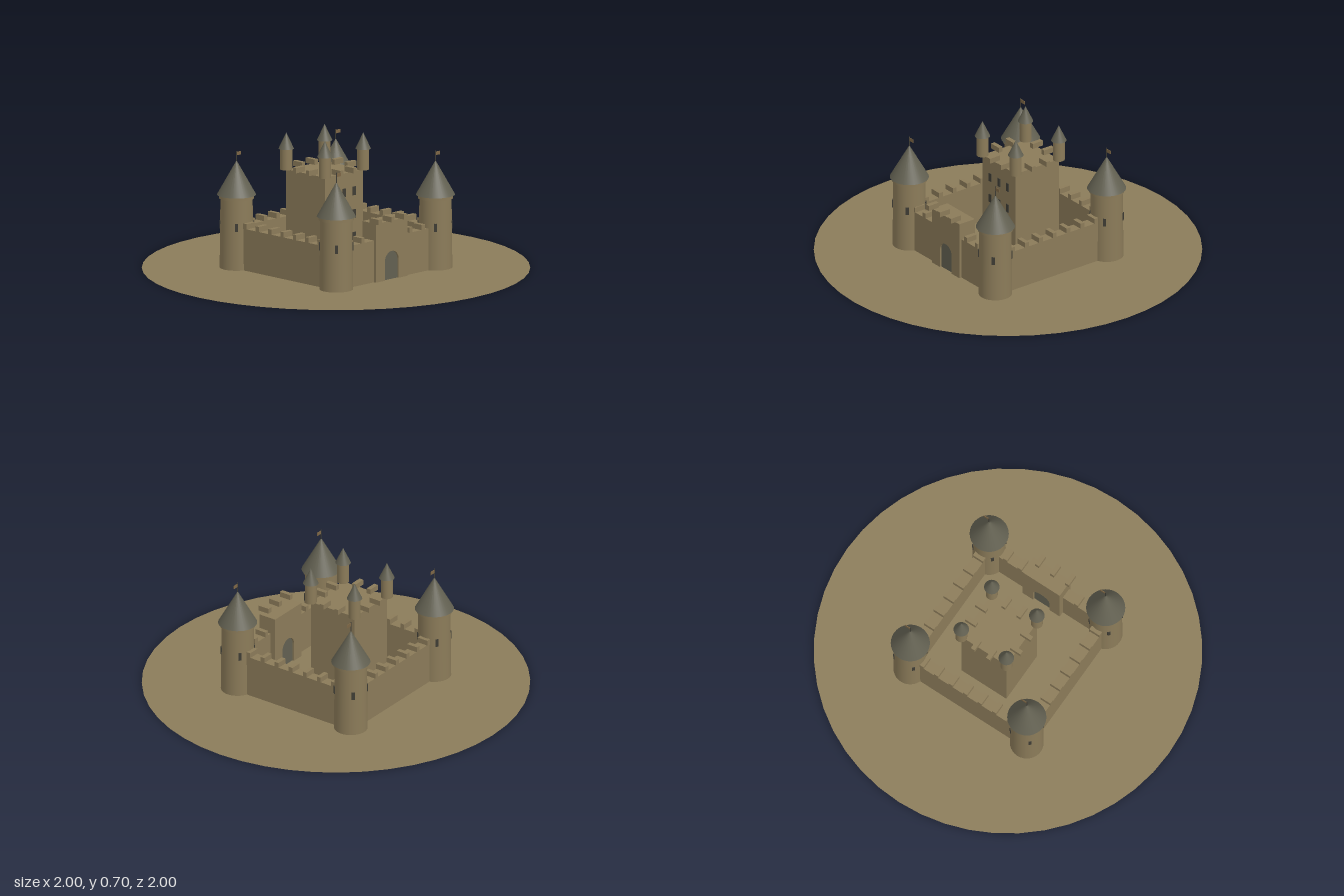
import * as THREE from 'three';

const material = (name, color) => {
  const m = new THREE.MeshStandardMaterial({ color });
  m.name = name;
  return m;
};

export function createModel() {
  const root = new THREE.Group();
  root.name = 'castle';
  const stone = material('sandstone', 0x8b7b59);
  const earth = material('earth', 0x8b7c5a);
  earth.side = THREE.DoubleSide;
  const slate = material('slate', 0x626051);
  const dark = material('darkOpening', 0x3f3d35);
  const cloth = material('flagCloth', 0x7d6645);
  const BASE = 0.002;

  const add = (name, geometry, mat, x, y, z, parent = root) => {
    const mesh = new THREE.Mesh(geometry, mat);
    mesh.name = name;
    mesh.position.set(x, y, z);
    parent.add(mesh);
    return mesh;
  };
  // Box standing on height y
  const block = (name, w, h, d, x, y, z, mat = stone, parent = root) =>
    add(name, new THREE.BoxGeometry(w, h, d), mat, x, y + h / 2, z, parent);
  // Cylinder or cone standing on height y
  const round = (name, top, bottom, h, mat, x, y, z, parent = root) =>
    add(name, new THREE.CylinderGeometry(top, bottom, h, 32), mat, x, y + h / 2, z, parent);

  // Merlons lie across the wall; alongX tells which way the wall runs
  const merlons = (places, alongX, across, y, depth) => {
    for (const p of places) {
      if (alongX) block('merlon', 0.024, 0.028, depth, p, y, across);
      else block('merlon', depth, 0.028, 0.024, across, y, p);
    }
  };

  // Ground disc
  add('ground', new THREE.CircleGeometry(1, 48), earth, 0, 0, 0).rotation.x = -Math.PI / 2;

  // Curtain walls
  const R = 0.362, T = 0.058, H = 0.222;
  const row = [-0.27, -0.18, -0.09, 0, 0.09, 0.18, 0.27];
  block('backWall', 2 * R, H - BASE, T, 0, BASE, -R);
  merlons(row, true, -R, H, T + 0.005);
  for (const s of [-1, 1]) {
    block('sideWall', T, H - BASE, 2 * R, s * R, BASE, 0);
    merlons(row, false, s * R, H, T + 0.005);
    block('frontWall', R - 0.11, H - BASE, T, s * (R + 0.11) / 2, BASE, R);
  }
  merlons([-0.285, -0.198, 0.152, 0.242], true, R, H, T + 0.005);

  // Corner towers with roof, flag and four slit windows
  for (const sx of [-1, 1]) for (const sz of [-1, 1]) {
    const tower = new THREE.Group();
    tower.name = 'cornerTower';
    tower.position.set(sx * R, 0, sz * R);
    root.add(tower);
    round('towerBody', 0.083, 0.087, 0.375 - BASE, stone, 0, BASE, 0, tower);
    round('towerCollar', 0.091, 0.091, 0.02, stone, 0, 0.368, 0, tower);
    round('towerRoof', 0, 0.101, 0.18, slate, 0, 0.386, 0, tower);
    round('flagPole', 0.0025, 0.0025, 0.06, dark, 0, 0.555, 0, tower);
    block('flag', 0.032, 0.018, 0.003, 0.017, 0.592, 0, cloth, tower);
    for (let i = 0; i < 4; i++) {
      const a = Math.PI / 4 + i * Math.PI / 2;
      const slit = block('towerWindow', 0.016, 0.042, 0.008,
        Math.sin(a) * 0.084, 0.207, Math.cos(a) * 0.084, dark, tower);
      slit.rotation.y = a;
    }
  }

  // Gatehouse with an arched opening
  const arch = (target, r, spring) => {
    target.moveTo(r, 0);
    target.lineTo(r, spring);
    target.absarc(0, spring, r, 0, Math.PI, false);
    target.lineTo(-r, 0);
    return target;
  };
  const G = 0.115;
  const gateShape = new THREE.Shape();
  gateShape.moveTo(-G, 0);
  gateShape.lineTo(-0.05, 0);
  gateShape.lineTo(-0.05, 0.1);
  gateShape.absarc(0, 0.1, 0.05, Math.PI, 0, true);
  gateShape.lineTo(0.05, 0);
  gateShape.lineTo(G, 0);
  gateShape.lineTo(G, 0.31);
  gateShape.lineTo(-G, 0.31);
  const extrude = (shape, depth) =>
    new THREE.ExtrudeGeometry(shape, { depth, bevelEnabled: false, curveSegments: 16 });
  add('gatehouse', extrude(gateShape, 0.1), stone, 0, BASE, 0.305);
  add('gateDoor', extrude(arch(new THREE.Shape(), 0.05, 0.1), 0.08), slate, 0, BASE, 0.315);
  merlons([-0.115, -0.022, 0.071], true, 0.403, 0.312, 0.065);

  // Keep with battlements and front windows
  const K = 0.14, KZ = -0.082, KH = 0.505;
  block('keep', 2 * K, KH - BASE, 2 * K, 0, BASE, KZ);
  for (const s of [-1, 1]) {
    merlons([-0.047, 0.047], true, KZ + s * K, KH, 0.065);
    merlons([KZ - 0.047, KZ + 0.047], false, s * K, KH, 0.065);
  }
  for (const y of [0.14, 0.26, 0.38])
    for (const x of [-0.072, 0, 0.072])
      block('keepWindow', 0.02, 0.045, 0.008, x, y, KZ + K, dark);

  // Keep corner turrets
  for (const sx of [-1, 1]) for (const sz of [-1, 1]) {
    const x = sx * K, z = KZ + sz * K;
    round('turretBody', 0.031, 0.031, 0.112, stone, x, KH, z);
    round('turretRoof', 0, 0.04, 0.085, slate, x, 0.615, z);
  }

  return root;
}
